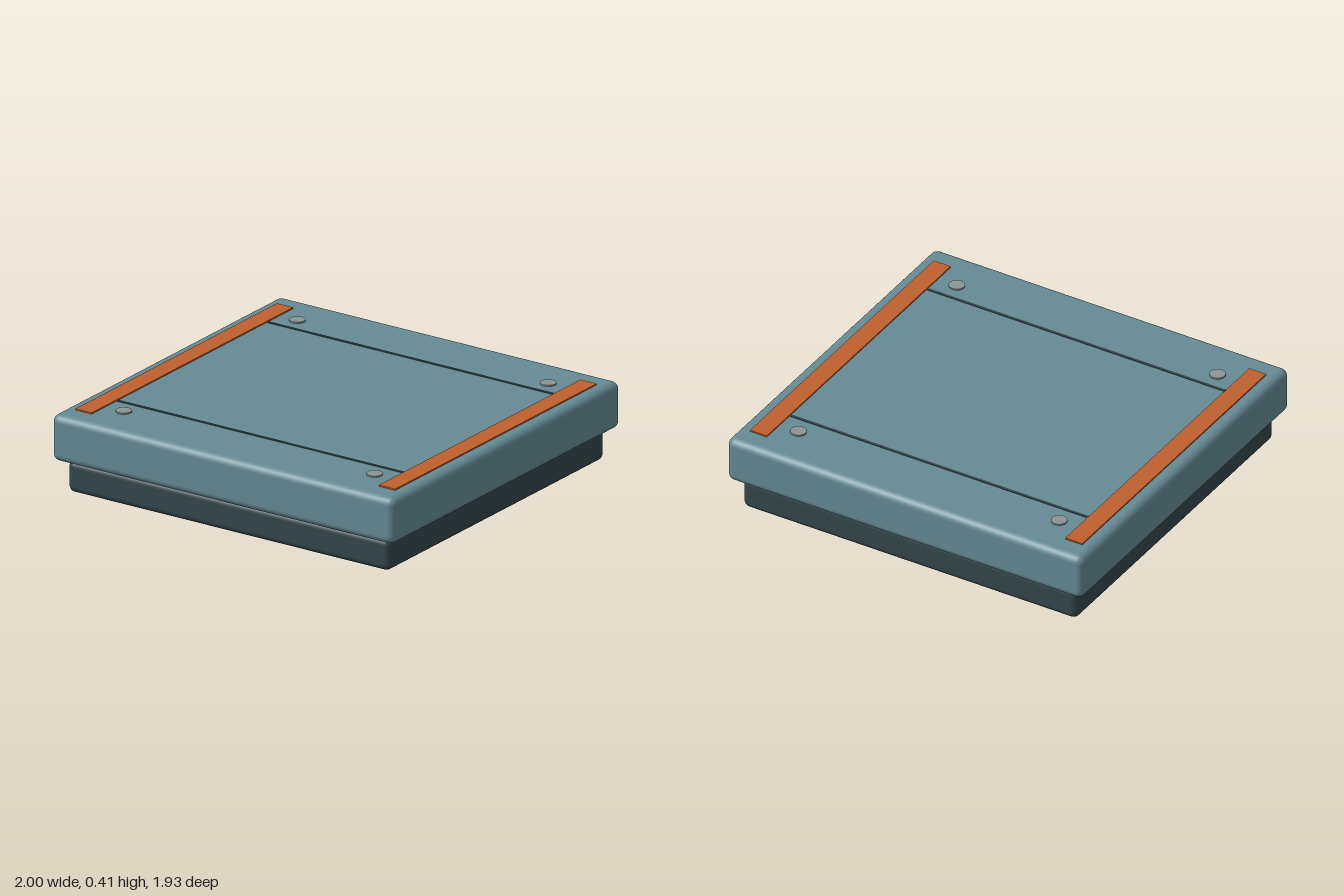
import * as THREE from 'three';
import { RoundedBoxGeometry } from 'three/addons/geometries/RoundedBoxGeometry.js';

export function createModel() {
  const group = new THREE.Group();
  const material = (color) => new THREE.MeshStandardMaterial({ color });
  const teal = material(0x668a94);
  const dark = material(0x34464b);
  const orange = material(0xc0602f);
  const steel = material(0x8b9494);

  const add = (name, geometry, mat, x, y, z) => {
    const mesh = new THREE.Mesh(geometry, mat);
    mesh.name = name;
    mesh.position.set(x, y, z);
    group.add(mesh);
  };

  // Recessed plinth and the wider deck slab resting on it
  add('base', new RoundedBoxGeometry(1.88, 0.165, 1.83, 4, 0.035), dark, 0, 0.0825, 0);
  add('deck', new RoundedBoxGeometry(2, 0.24, 1.93, 4, 0.04), teal, 0, 0.283, 0);

  // Mirrored details on the deck surface
  const strip = new THREE.BoxGeometry(0.095, 0.02, 1.7);
  const seam = new THREE.BoxGeometry(1.67, 0.008, 0.015);
  const bolt = new THREE.CylinderGeometry(0.04, 0.04, 0.016, 20);
  for (const side of [-1, 1]) {
    add(side > 0 ? 'leftStrip' : 'rightStrip', strip, orange, side * 0.887, 0.4, 0);
    add(side > 0 ? 'frontSeam' : 'backSeam', seam, dark, 0, 0.402, side * 0.633);
    for (const end of [-1, 1]) {
      add('bolt', bolt, steel, side * 0.733, 0.402, end * 0.732);
    }
  }
  return group;
}
